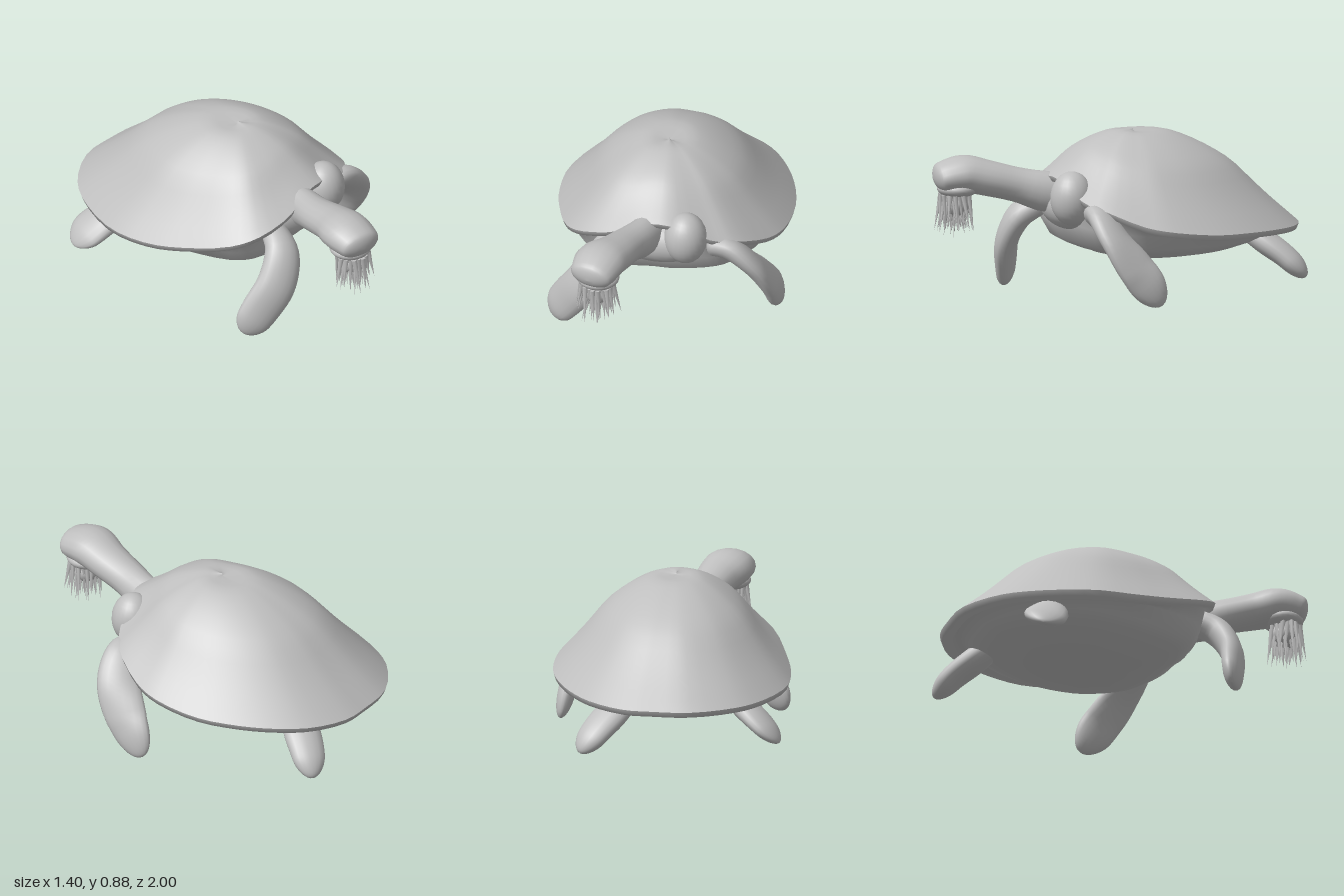
import * as THREE from 'three';

const V = (x, y, z) => new THREE.Vector3(x, y, z);

// Smooth surface through closed rings of equal length
function loft(rings) {
  const n = rings[0].length, pos = [], idx = [];
  rings.forEach(r => r.forEach(p => pos.push(p.x, p.y, p.z)));
  for (let i = 0; i < rings.length - 1; i++) {
    for (let j = 0; j < n; j++) {
      const k = (j + 1) % n;
      const a = i * n + j, b = i * n + k, c = a + n, d = b + n;
      idx.push(a, c, d, a, d, b);
    }
  }
  const g = new THREE.BufferGeometry();
  g.setAttribute('position', new THREE.Float32BufferAttribute(pos, 3));
  g.setIndex(idx);
  g.computeVertexNormals();
  return g;
}

// Rounded flattened limb; each station is [x, y, z, halfWidth, halfThickness]
function limb(stations, wide, cap = 0.16) {
  const path = new THREE.CatmullRomCurve3(stations.map(s => V(s[0], s[1], s[2])), false, 'catmullrom');
  const size = new THREE.CatmullRomCurve3(stations.map(s => V(s[3], s[4], 0)), false, 'catmullrom');
  const rings = [], steps = 28, sides = 18;
  for (let i = 0; i <= steps; i++) {
    const t = 1 - Math.pow(1 - i / steps, 1.5);
    const c = path.getPoint(t), s = size.getPoint(t), T = path.getTangent(t);
    const W = wide.clone().addScaledVector(T, -wide.dot(T)).normalize();
    const N = T.clone().cross(W);
    const e = Math.max(0, (t - 1 + cap) / cap);
    const round = i === 0 ? 0 : Math.sqrt(Math.max(0, 1 - e * e));
    const ring = [];
    for (let j = 0; j < sides; j++) {
      const a = j / sides * Math.PI * 2;
      ring.push(c.clone()
        .addScaledVector(W, Math.cos(a) * s.x * round)
        .addScaledVector(N, -Math.sin(a) * s.y * round));
    }
    rings.push(ring);
  }
  return loft(rings);
}

export function createModel() {
  const model = new THREE.Group();
  model.name = 'turtle';
  const grey = new THREE.MeshStandardMaterial({ color: 0xbfbfbf });
  grey.name = 'plain grey';

  const add = (name, geometry, parent = model) => {
    const m = new THREE.Mesh(geometry, grey);
    m.name = name;
    parent.add(m);
    return m;
  };
  const ball = (name, p, r) => {
    const m = add(name, new THREE.SphereGeometry(1, 24, 16));
    m.position.set(...p);
    m.scale.set(...r);
    return m;
  };

  // Shell rim outline, [x, height, z]
  const rim = new THREE.CatmullRomCurve3([
    [-0.1, 0.35, -1], [-0.3, 0.35, -0.97], [-0.5, 0.35, -0.82], [-0.6, 0.35, -0.65],
    [-0.67, 0.36, -0.35], [-0.63, 0.38, -0.1], [-0.55, 0.42, 0.1], [-0.42, 0.49, 0.33],
    [-0.3, 0.54, 0.42], [-0.1, 0.6, 0.44], [0.05, 0.66, 0.4], [0.2, 0.66, 0.37],
    [0.4, 0.56, 0.28], [0.5, 0.53, 0.2], [0.6, 0.45, 0], [0.63, 0.42, -0.15],
    [0.6, 0.39, -0.4], [0.52, 0.38, -0.6], [0.4, 0.37, -0.78], [0.25, 0.36, -0.92],
    [0.05, 0.35, -1]
  ].map(p => V(...p)), true).getPoints(60).slice(0, 60);

  // Domed upper shell
  const apex = V(0, 0.895, -0.1), dome = [];
  for (let i = 0; i <= 16; i++) {
    const t = i / 16;
    const f = 1 - Math.pow(t, 1.9) - 0.05 * Math.max(0, Math.sin((t - 0.6) / 0.4 * Math.PI));
    dome.push(rim.map(p => V(
      apex.x + (p.x - apex.x) * t, p.y + (apex.y - p.y) * f, apex.z + (p.z - apex.z) * t)));
  }
  add('upperShell', loft(dome));

  // Rim underside curving into the belly: [scale, height, share of rim height]
  const belly = [[1, 0, 1], [0.985, -0.03, 1], [0.92, -0.03, 1], [0.88, 0.32, 0.15], [0.8, 0.31, 0],
    [0.7, 0.275, 0], [0.58, 0.245, 0], [0.42, 0.224, 0], [0.2, 0.213, 0], [0, 0.21, 0]];
  add('belly', loft(belly.map(([k, y, share]) =>
    rim.map(p => V(p.x * k, y + p.y * share, -0.2 + (p.z + 0.2) * k)))));

  // Flesh around the neck and the swollen shoulder beside it
  ball('neckFold', [0.04, 0.5, 0.27], [0.28, 0.13, 0.14]);
  ball('shoulder', [0.25, 0.565, 0.31], [0.115, 0.145, 0.115]);

  // Neck and head in one sweep, with a jaw below
  add('neckAndHead', limb([
    [0.04, 0.55, 0.15, 0.1, 0.1], [0.04, 0.57, 0.38, 0.09, 0.11], [0.01, 0.61, 0.54, 0.1, 0.093],
    [-0.01, 0.65, 0.7, 0.118, 0.095], [-0.035, 0.675, 0.82, 0.137, 0.1],
    [-0.04, 0.665, 0.92, 0.125, 0.088], [-0.045, 0.65, 0.99, 0.1, 0.065]
  ], V(1, 0, 0), 0.1));
  ball('jaw', [-0.035, 0.6, 0.86], [0.115, 0.05, 0.11]);

  // Flippers, each reaching in its own direction
  add('rightFrontFlipper', limb([
    [-0.14, 0.5, 0.34, 0.07, 0.06], [-0.18, 0.42, 0.47, 0.095, 0.07], [-0.26, 0.28, 0.52, 0.11, 0.062],
    [-0.36, 0.14, 0.5, 0.108, 0.052], [-0.45, 0.015, 0.47, 0.085, 0.04]
  ], V(0.75, -0.45, 0.5)));
  add('leftFrontFlipper', limb([
    [0.34, 0.47, 0.2, 0.08, 0.055], [0.46, 0.475, 0.2, 0.1, 0.06], [0.565, 0.37, 0.15, 0.115, 0.055],
    [0.62, 0.22, 0.05, 0.115, 0.05], [0.645, 0.035, -0.08, 0.09, 0.045]
  ], V(0, 0.6, 0.8)));
  add('rightRearFlipper', limb([
    [-0.4, 0.35, -0.5, 0.07, 0.06], [-0.5, 0.28, -0.54, 0.1, 0.06],
    [-0.6, 0.21, -0.59, 0.115, 0.05], [-0.7, 0.125, -0.63, 0.09, 0.035]
  ], V(0, 0, 1), 0.25));
  add('leftRearFlipper', limb([
    [0.1, 0.35, -0.68, 0.07, 0.06], [0.17, 0.27, -0.78, 0.1, 0.065],
    [0.235, 0.19, -0.88, 0.095, 0.06], [0.3, 0.09, -0.97, 0.07, 0.05]
  ], V(0.8, 0.1, 0.5), 0.25));

  // Beard of pointed strands around a small core
  const beard = new THREE.Group();
  beard.name = 'beard';
  model.add(beard);
  const core = add('beardCore', new THREE.SphereGeometry(1, 16, 12), beard);
  core.position.set(-0.035, 0.52, 0.87);
  core.scale.set(0.08, 0.07, 0.075);
  let seed = 7;
  const rand = () => (seed = (seed * 16807) % 2147483647) / 2147483647;
  const down = V(0, -1, 0);
  for (let i = 0; i < 54; i++) {
    const a = i * 2.4, r = Math.sqrt((i + 0.5) / 54);
    const root = V(-0.035 + Math.cos(a) * r * 0.09, 0.57, 0.875 + Math.sin(a) * r * 0.08);
    const len = 0.15 + rand() * 0.06 + (1 - r) * 0.04;
    const dir = V(Math.cos(a) * r * 0.1 + (rand() - 0.5) * 0.3, -1,
      Math.sin(a) * r * 0.1 + (rand() - 0.5) * 0.25).normalize();
    const g = new THREE.ConeGeometry(0.015, len, 5);
    g.rotateX(Math.PI).translate(0, -len / 2, 0);
    const strand = add('beardStrand', g, beard);
    strand.position.copy(root);
    strand.quaternion.setFromUnitVectors(down, dir);
  }
  return model;
}
